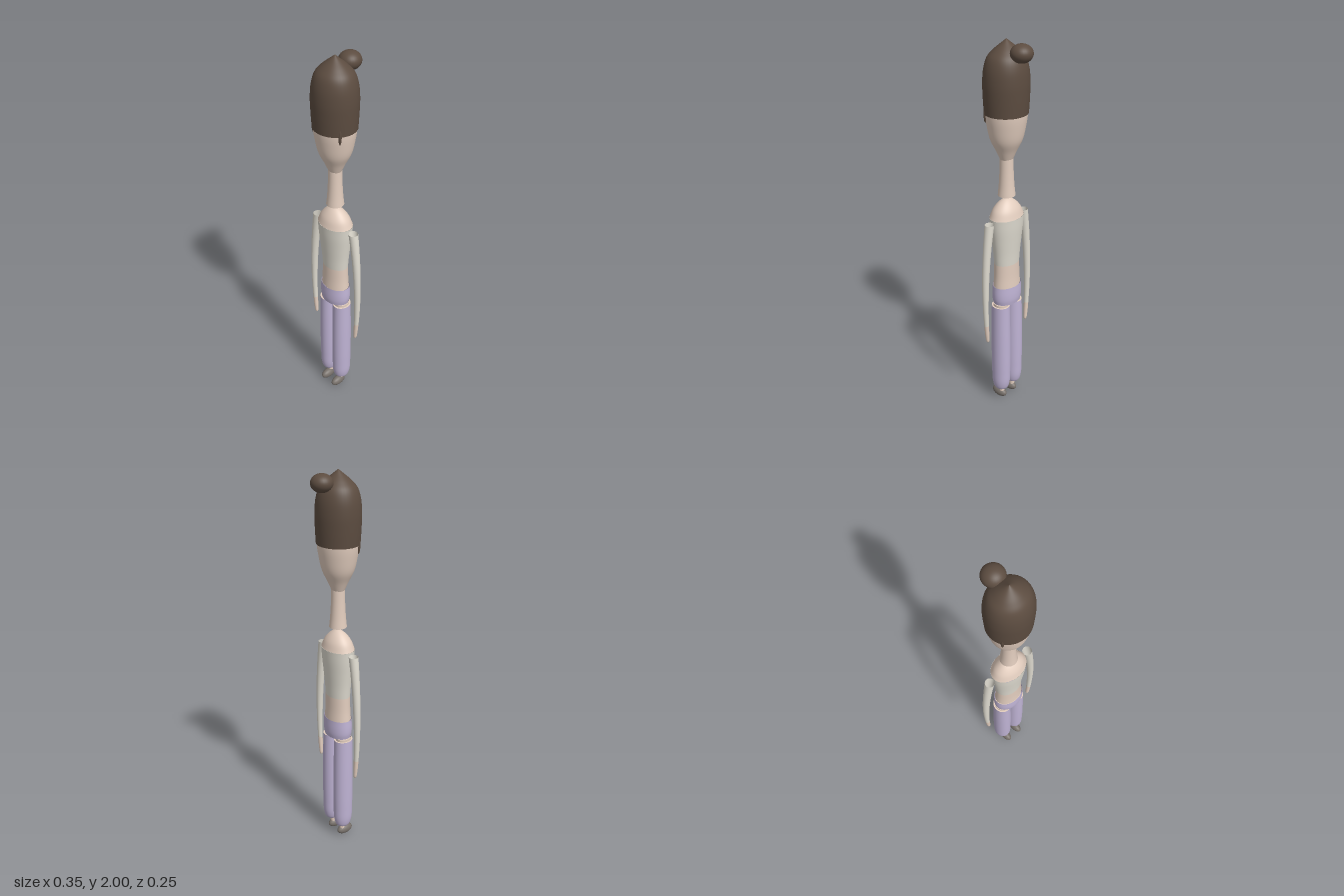
import * as THREE from 'three';

const mat = (color, side = THREE.FrontSide) => new THREE.MeshStandardMaterial({ color, side });
const D = THREE.DoubleSide;
const CENTRE_Z = 0.018;

// Smooth turned form from [radius, y] points (bottom to top), squashed in z
function turned(name, pts, material, { zScale = 1, x = 0, z = CENTRE_Z, steps = 24 } = {}) {
  const curve = new THREE.CatmullRomCurve3(pts.map(([r, y]) => new THREE.Vector3(r, y, 0)), false, 'centripetal');
  const profile = curve.getPoints(steps).map(p => new THREE.Vector2(Math.max(p.x, 0), p.y));
  const geo = new THREE.LatheGeometry(profile, 40);
  geo.scale(1, 1, zScale);
  geo.translate(x, 0, z);
  const mesh = new THREE.Mesh(geo, material);
  mesh.name = name;
  return mesh;
}

function ellipsoid(name, material, [x, y, z], [rx, ry, rz]) {
  const mesh = new THREE.Mesh(new THREE.SphereGeometry(1, 28, 20), material);
  mesh.name = name;
  mesh.scale.set(rx, ry, rz);
  mesh.position.set(x, y, z);
  return mesh;
}

// Flat oval lid closing the end of a turned form
function lid(name, material, x, y, rx, rz, up) {
  const mesh = new THREE.Mesh(new THREE.CircleGeometry(1, 40), material);
  mesh.name = name;
  mesh.rotation.x = up ? -Math.PI / 2 : Math.PI / 2;
  mesh.scale.set(rx, rz, 1);
  mesh.position.set(x, y, CENTRE_Z);
  return mesh;
}

// Bow an arm piece outward along its length
function bow(mesh, side) {
  const p = mesh.geometry.attributes.position;
  for (let i = 0; i < p.count; i++) {
    const t = (1.12 - p.getY(i)) / 0.69;
    p.setX(i, p.getX(i) + side * (0.124 + 0.114 * t - 0.09 * t * t));
  }
  mesh.geometry.computeVertexNormals();
  return mesh;
}

export function createModel() {
  const model = new THREE.Group();
  model.name = 'figure';
  const skin = mat(0xe2cdbe, D), hair = mat(0x5c4c40, D), shirt = mat(0xdedacf, D);
  const trousers = mat(0xbfb3d4, D), shoe = mat(0x77706a);

  // Head, neck and hair
  const head = new THREE.Group();
  head.name = 'head';
  head.add(
    turned('face', [[0.033, 1.43], [0.053, 1.475], [0.08, 1.53], [0.096, 1.6], [0.104, 1.66], [0.105, 1.75]], skin, { zScale: 0.95 }),
    turned('neck', [[0.044, 1.24], [0.039, 1.29], [0.035, 1.36], [0.033, 1.435]], skin),
    lid('neckBase', skin, 0, 1.24, 0.044, 0.044, false),
    turned('hair', [[0.108, 1.66], [0.112, 1.74], [0.113, 1.81], [0.106, 1.875], [0.09, 1.92],
      [0.063, 1.95], [0.026, 1.98], [0, 2]], hair, { zScale: 0.95, steps: 40 }),
    ellipsoid('hairBun', hair, [0, 1.948, -0.074], [0.053, 0.043, 0.053])
  );

  // Torso
  const torso = new THREE.Group();
  torso.name = 'torso';
  const z = { zScale: 0.74 };
  torso.add(
    turned('shoulders', [[0.098, 1.13], [0.079, 1.17], [0.052, 1.2], [0.025, 1.218], [0, 1.226]], skin, z),
    turned('shirt', [[0.074, 0.868], [0.079, 0.93], [0.087, 1.0], [0.095, 1.07], [0.099, 1.13]], shirt, z),
    turned('midriff', [[0.08, 0.735], [0.076, 0.79], [0.074, 0.868]], skin, z),
    turned('waistband', [[0.081, 0.635], [0.086, 0.66], [0.087, 0.69], [0.084, 0.738]], trousers, z),
    lid('pelvisBase', skin, 0, 0.637, 0.081, 0.06, false)
  );
  model.add(head, torso);

  for (const side of [1, -1]) {
    const label = side > 0 ? 'left' : 'right';

    // Lock of hair hanging at the temple
    head.add(ellipsoid(label + 'HairLock', hair, [side * 0.086, 1.665, 0.072], [0.008, 0.046, 0.008]));

    // Arm: open sleeve and tapered hand
    const arm = new THREE.Group();
    arm.name = label + 'Arm';
    arm.add(
      bow(turned('sleeve', [[0.0125, 0.54], [0.0145, 0.63], [0.018, 0.8], [0.021, 0.98], [0.024, 1.12]], shirt), side),
      bow(turned('hand', [[0, 0.428], [0.007, 0.436], [0.0105, 0.47], [0.0125, 0.54]], skin), side)
    );

    // Leg: trouser leg rounded in at the ankle, foot below
    const leg = new THREE.Group();
    leg.name = label + 'Leg';
    const x = side * 0.047;
    leg.add(
      turned('trouserLeg', [[0.018, 0.066], [0.034, 0.08], [0.044, 0.115], [0.0475, 0.2], [0.048, 0.4], [0.045, 0.62]],
        trousers, { x, zScale: 1.11, steps: 36 }),
      turned('thigh', [[0.037, 0.6], [0.037, 0.632]], skin, { x, zScale: 1.11, steps: 2 }),
      lid('thighTop', skin, x, 0.62, 0.045, 0.05, true),
      turned('ankle', [[0.014, 0.035], [0.015, 0.075]], skin, { x: side * 0.041, steps: 2 }),
      ellipsoid('foot', shoe, [side * 0.04, 0.033, 0.037], [0.024, 0.027, 0.048])
    );
    leg.getObjectByName('foot').position.y = 0.027;
    model.add(arm, leg);
  }
  return model;
}
